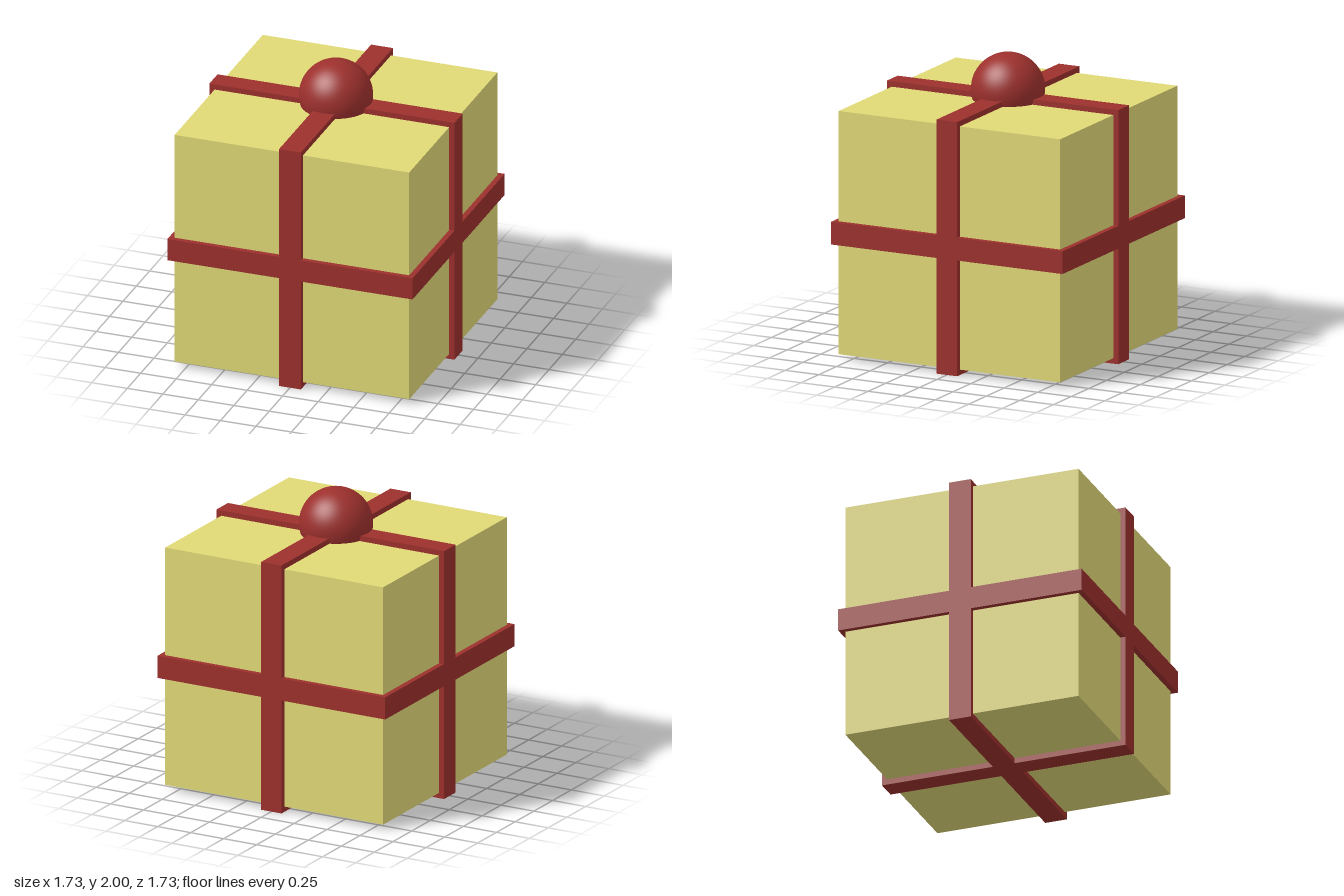
import * as THREE from 'three';

export function createModel() {
  const group = new THREE.Group();
  const paper = new THREE.MeshStandardMaterial({ color: 0xe0d977 });
  const red = new THREE.MeshStandardMaterial({ color: 0x9c302d });

  const outer = 1.726;  // across the ribbons
  const inner = 1.652;  // across the box
  const width = 0.154;  // ribbon width
  const midY = outer / 2;

  const add = (name, geometry, material, y) => {
    const mesh = new THREE.Mesh(geometry, material);
    mesh.name = name;
    mesh.position.y = y;
    group.add(mesh);
  };

  // Wrapped box
  add('giftBox', new THREE.BoxGeometry(inner, inner, inner), paper, midY);

  // Three ribbons, one around each axis
  ['sideRibbon', 'waistRibbon', 'frontRibbon'].forEach((name, axis) => {
    const size = [outer, outer, outer];
    size[axis] = width;
    add(name, new THREE.BoxGeometry(...size), red, midY);
  });

  // Round bow on top
  const radius = 0.245;
  add('bow', new THREE.SphereGeometry(radius, 48, 32), red, 2 - radius);

  return group;
}
